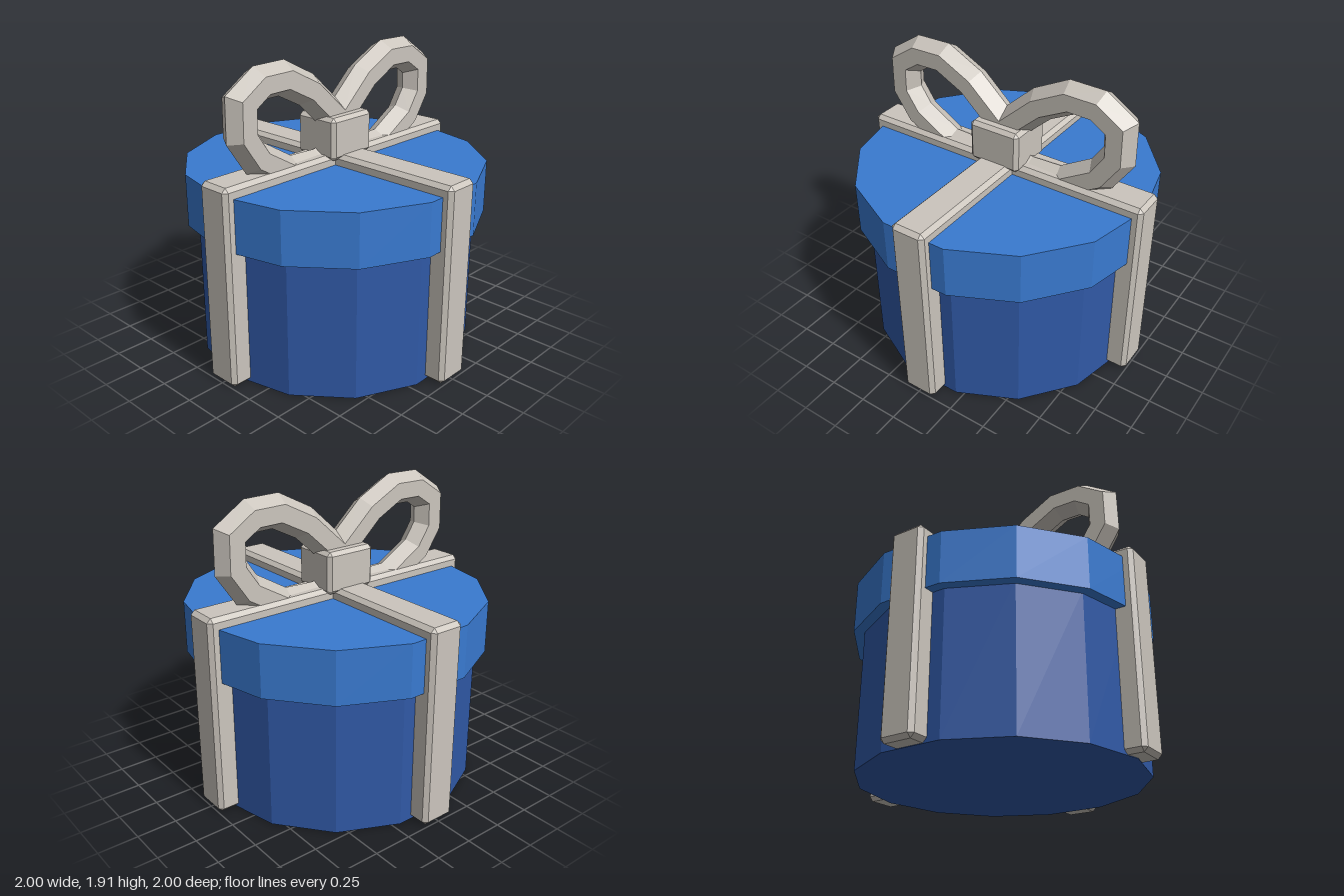
import * as THREE from 'three';
import { ConvexGeometry } from 'three/addons/geometries/ConvexGeometry.js';

const mat = (name, color) => {
  const m = new THREE.MeshStandardMaterial({ color, flatShading: true });
  m.name = name;
  return m;
};

// Box with chamfered edges, half sizes hx, hy, hz
function chamferBox(hx, hy, hz, b) {
  const pts = [];
  for (const x of [-1, 1]) for (const y of [-1, 1]) for (const z of [-1, 1]) {
    pts.push(new THREE.Vector3(x * hx, y * (hy - b), z * (hz - b)));
    pts.push(new THREE.Vector3(x * (hx - b), y * hy, z * (hz - b)));
    pts.push(new THREE.Vector3(x * (hx - b), y * (hy - b), z * hz));
  }
  return new ConvexGeometry(pts);
}

// Mitred hexagonal tube along a path in the xy plane, both ends cut at x = 0
function loopGeometry(path, radius) {
  const pts = path.map(([x, y]) => new THREE.Vector2(x, y));
  const n = pts.length, sides = 6, pos = [], idx = [];
  const mirrored = (p) => new THREE.Vector2(-p.x, p.y);
  for (let i = 0; i < n; i++) {
    const prev = i > 0 ? pts[i - 1] : mirrored(pts[1]);
    const next = i < n - 1 ? pts[i + 1] : mirrored(pts[n - 2]);
    const d1 = pts[i].clone().sub(prev).normalize();
    const d2 = next.clone().sub(pts[i]).normalize();
    const t = d1.clone().add(d2).normalize();
    const r = radius / Math.max(0.5, t.dot(d2));
    for (let j = 0; j < sides; j++) {
      const a = (j / sides) * Math.PI * 2, c = Math.cos(a) * r;
      pos.push(pts[i].x - t.y * c, pts[i].y + t.x * c, Math.sin(a) * radius);
      if (i < n - 1) {
        const k = (j + 1) % sides, p = i * sides, q = p + sides;
        idx.push(p + j, p + k, q + j, p + k, q + k, q + j);
      }
    }
  }
  const g = new THREE.BufferGeometry();
  g.setAttribute('position', new THREE.Float32BufferAttribute(pos, 3));
  g.setIndex(idx);
  const flat = g.toNonIndexed();
  flat.computeVertexNormals();
  return flat;
}

export function createModel() {
  const group = new THREE.Group();
  const boxBlue = mat('boxBlue', 0x3059a6);
  const lidBlue = mat('lidBlue', 0x397ad0);
  const ribbonGrey = mat('ribbonGrey', 0xcbc5bd);
  const add = (name, geo, material, y = 0, rotY = 0) => {
    const m = new THREE.Mesh(geo, material);
    m.name = name;
    m.position.y = y;
    m.rotation.y = rotY;
    group.add(m);
  };

  // Fourteen-sided box and lid, flat faces towards front and back
  const drum = (r, y0, y1) =>
    new THREE.CylinderGeometry(r, r, y1 - y0, 14, 1, false, Math.PI / 14).translate(0, (y0 + y1) / 2, 0);
  add('box', drum(0.897, 0, 0.9), boxBlue);
  add('lid', drum(0.965, 0.88, 1.215), lidBlue);

  // Two crossing ribbon bands
  const band = chamferBox(1, 0.641, 0.115, 0.026);
  add('ribbonAcross', band, ribbonGrey, 0.644);
  add('ribbonFrontToBack', band, ribbonGrey, 0.644, Math.PI / 2);

  // Bow knot and its two loops
  add('bowKnot', chamferBox(0.175, 0.135, 0.157, 0.024), ribbonGrey, 1.39);
  const loop = loopGeometry([
    [0, 1.47], [0.25, 1.7], [0.453, 1.805], [0.634, 1.802], [0.772, 1.712],
    [0.775, 1.52], [0.672, 1.366], [0.42, 1.215], [0.18, 1.207], [0, 1.25],
  ], 0.104);
  add('bowLoopLeft', loop, ribbonGrey);
  add('bowLoopRight', loop, ribbonGrey, 0, Math.PI);

  return group;
}
